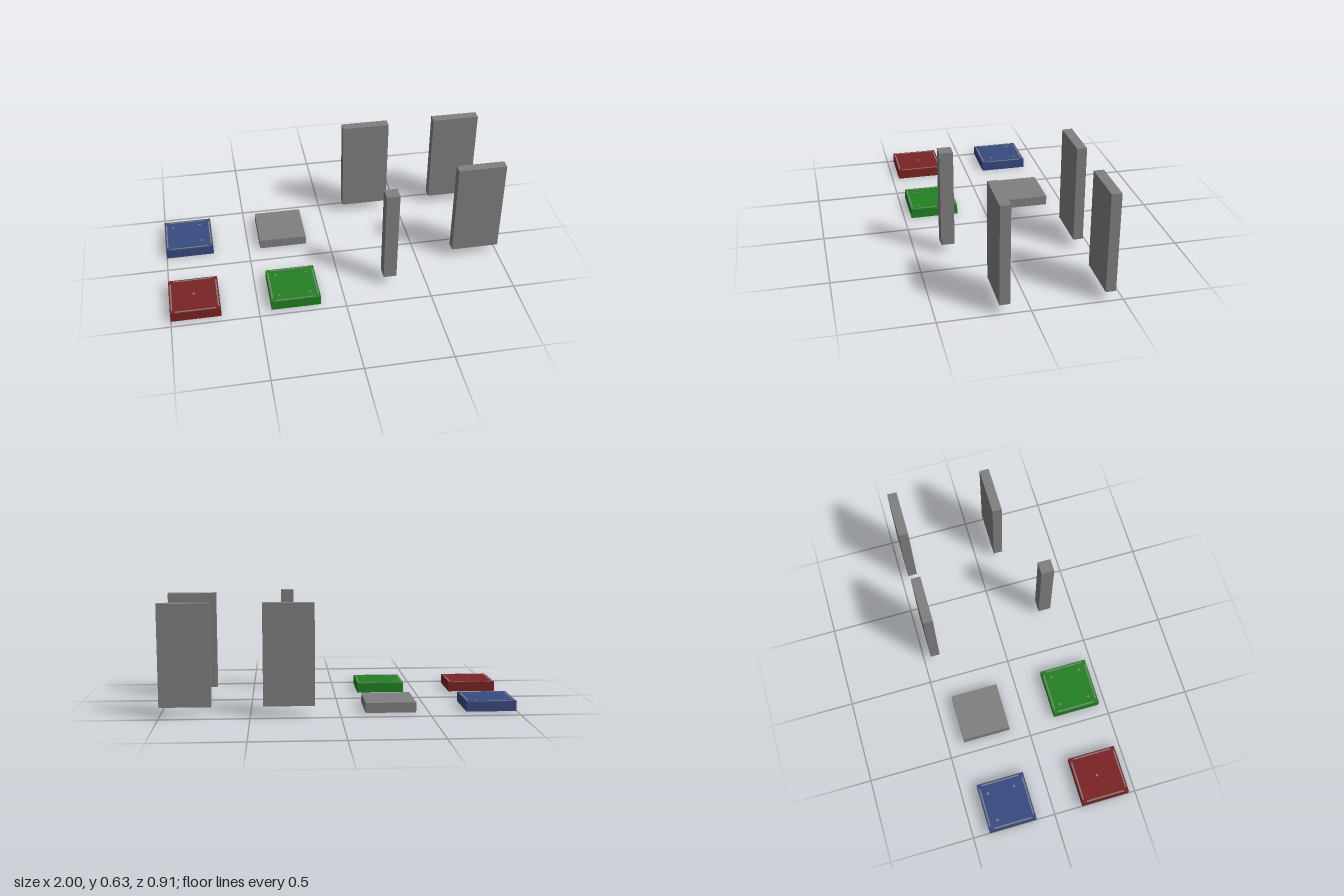
import * as THREE from 'three';

const mat = (name, color) => {
  const m = new THREE.MeshStandardMaterial({ color });
  m.name = name;
  return m;
};

export function createModel() {
  const model = new THREE.Group();
  model.name = 'buildingPieces';
  const grey = mat('stone grey', 0x7f7f7f);
  const red = mat('dark red', 0x7a2323);
  const green = mat('green', 0x228022);
  const blue = mat('slate blue', 0x384a80);

  // Box standing on height y, centred on x and z
  const box = (parent, name, material, w, h, d, x, y, z) => {
    const mesh = new THREE.Mesh(new THREE.BoxGeometry(w, h, d), material);
    mesh.name = name;
    mesh.position.set(x, y + h / 2, z);
    parent.add(mesh);
  };

  const size = 2 / 7, thick = 0.4 / 7, wallHeight = 4 / 7;

  // Square floor tiles, the coloured ones with a fine grey inlay and small studs
  const tiles = [
    ['redTile', red, -6 / 7, 2.2 / 7, [[0, -0.01]]],
    ['greenTile', green, -2 / 7, 2.2 / 7, [[-0.09, -0.09], [0.09, -0.09], [-0.09, 0.09], [0.09, 0.09]]],
    ['blueTile', blue, -6 / 7, -1.8 / 7, [[0.075, -0.09], [0.075, 0.07], [-0.09, -0.08]]],
    ['plainTile', grey, -2 / 7, -1.8 / 7, []],
  ];
  for (const [name, material, x, z, studs] of tiles) {
    const tile = new THREE.Group();
    tile.name = name;
    tile.position.set(x, 0, z);
    model.add(tile);
    box(tile, 'slab', material, size, thick, size, 0, 0, 0);
    if (material === grey) continue;
    for (const s of [-1, 1]) {
      box(tile, 'inlayStrip', grey, 0.23, 0.001, 0.008, 0, thick, s * 0.132);
      box(tile, 'inlayStrip', grey, 0.008, 0.001, 0.23, s * 0.132, thick, 0);
    }
    for (const [sx, sz] of studs) box(tile, 'stud', grey, 0.014, 0.001, 0.014, sx, thick, sz);
  }

  // Upright wall panels
  for (const [x, z] of [[2 / 7, -3 / 7], [6 / 7, -3 / 7], [6 / 7, 1 / 7]])
    box(model, 'wallPanel', grey, size, wallHeight, thick, x, thick, z);

  // Square pillar
  box(model, 'pillar', grey, 0.077, wallHeight, 0.077, 2 / 7, thick, 2.2 / 7);

  return model;
}
